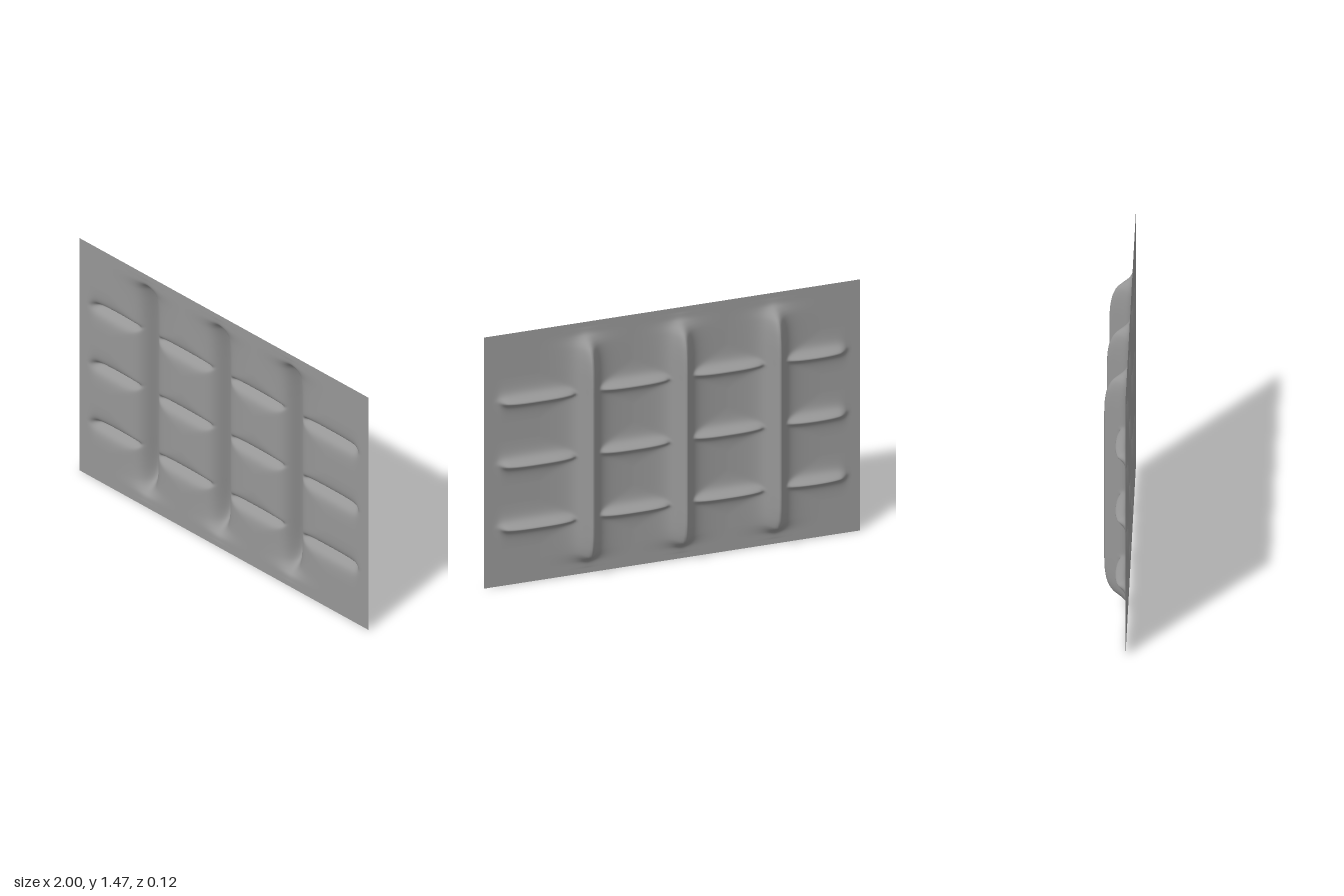
import * as THREE from 'three';

const WIDTH = 2, HEIGHT = 1.47, FRONT = 0.06;

// Smooth depth along a channel, by distance from its end
const deepEnd = new THREE.CubicInterpolant(
  [0, 0.04, 0.06, 0.08, 0.1, 0.14, 0.2, 0.28, 0.36],
  [0, 0.008, 0.028, 0.055, 0.078, 0.101, 0.115, 0.12, 0.12], 1);
const shallowEnd = new THREE.CubicInterpolant(
  [0, 0.02, 0.04, 0.06, 0.09, 0.14, 0.19],
  [0, 0.006, 0.025, 0.041, 0.05, 0.056, 0.058], 1);

const depthAt = (profile, d) => (d <= 0 ? 0 : Math.max(0, profile.evaluate(d)[0]));

// Bell-shaped cross-section with flared feet that fade out at the given reach
function bell(offset, halfWidth, reach) {
  const t = offset / reach;
  if (Math.abs(t) >= 1) return 0;
  return (1 - t * t) / (1 + (offset / halfWidth) ** 2);
}

// Tall channels, and rows of short shallow channels between them
const columns = [-0.542, -0.044, 0.453];
const rows = [0.342, 0.711, 1.08];
const spans = [[-0.95, -0.56], [-0.52, -0.065], [-0.02, 0.43], [0.48, 0.945]];

function channelDepth(x, y) {
  let sum = 0;
  for (const cx of columns) {
    const d = depthAt(deepEnd, Math.min(y - 0.03, 1.44 - y)) * bell(x - cx, 0.039, 0.25);
    sum += d ** 3;
  }
  for (const cy of rows) {
    for (const [x0, x1] of spans) {
      const d = depthAt(shallowEnd, Math.min(x - x0, x1 - x)) * bell(y - cy, 0.023, 0.13);
      sum += d ** 3;
    }
  }
  return Math.cbrt(sum);
}

export function createModel() {
  const group = new THREE.Group();
  group.name = 'embossedPanel';

  // One thin sheet pressed backwards along the channels
  const geometry = new THREE.PlaneGeometry(WIDTH, HEIGHT, 240, 290);
  geometry.translate(0, HEIGHT / 2, FRONT);
  const position = geometry.attributes.position;
  for (let i = 0; i < position.count; i++) {
    position.setZ(i, FRONT - channelDepth(position.getX(i), position.getY(i)));
  }
  geometry.computeVertexNormals();

  const sheet = new THREE.Mesh(
    geometry,
    new THREE.MeshStandardMaterial({ color: 0x969696, side: THREE.DoubleSide })
  );
  sheet.name = 'pressedSheet';
  group.add(sheet);
  return group;
}
